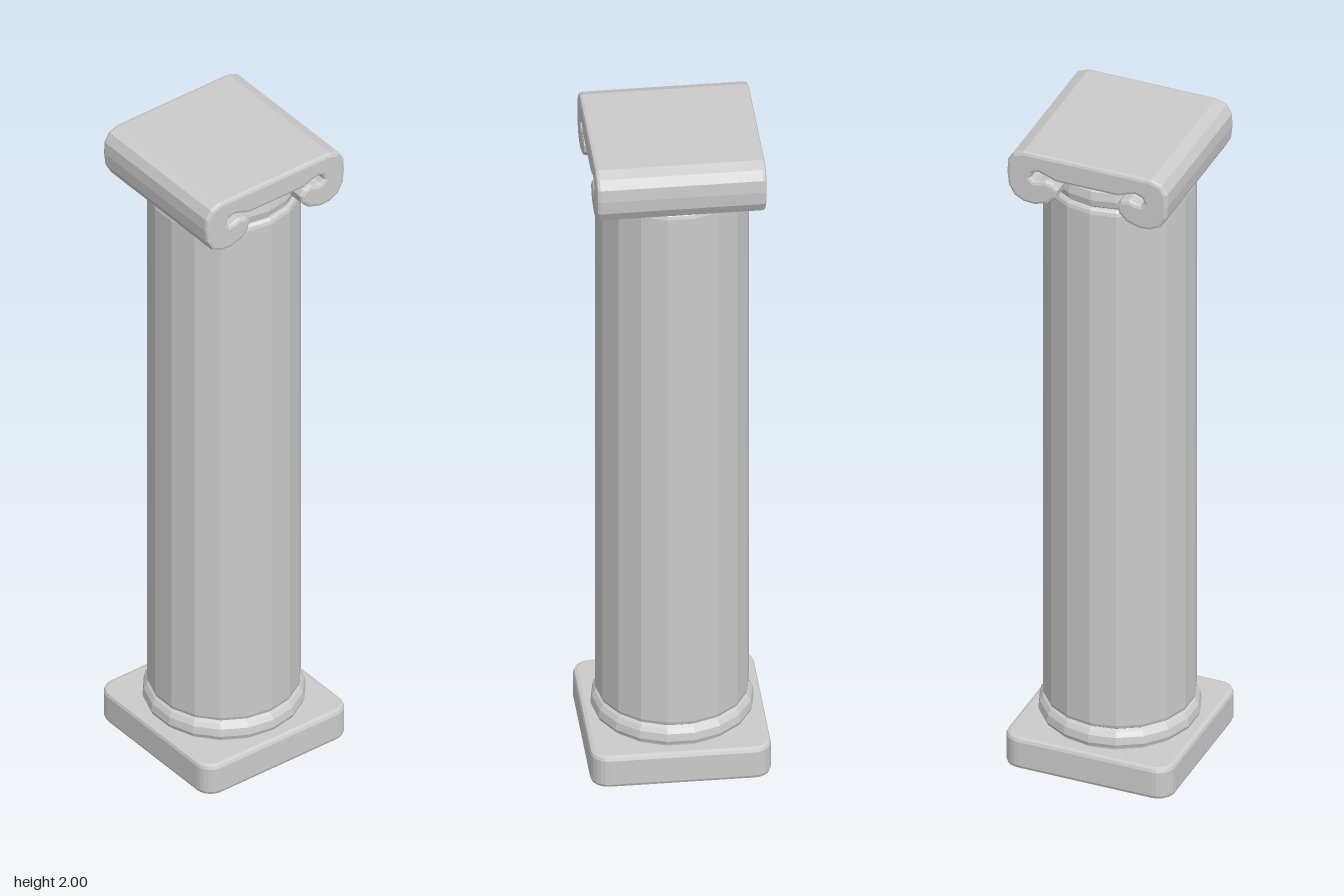
import * as THREE from 'three';

const stone = new THREE.MeshStandardMaterial({ color: 0xcccccc, flatShading: true, side: THREE.DoubleSide });
const SIDES = 18;

function addPart(group, name, geometry) {
  const mesh = new THREE.Mesh(geometry, stone);
  mesh.name = name;
  group.add(mesh);
  return mesh;
}

// Turned part from [radius, height] pairs
function turned(profile) {
  return new THREE.LatheGeometry(profile.map(([r, y]) => new THREE.Vector2(r, y)), SIDES);
}

// Square with rounded corners
function roundedSquare(half, r) {
  const s = new THREE.Shape(), c = half - r;
  s.absarc(c, c, r, 0, Math.PI / 2);
  s.absarc(-c, c, r, Math.PI / 2, Math.PI);
  s.absarc(-c, -c, r, Math.PI, Math.PI * 1.5);
  s.absarc(c, -c, r, Math.PI * 1.5, Math.PI * 2);
  return s;
}

// Slab whose two ends curl under into scrolls
function scrollShape() {
  const half = [
    [0.19, 2.0], [0.222, 1.988], [0.238, 1.962], [0.24, 1.925], [0.236, 1.885],
    [0.218, 1.853], [0.19, 1.838], [0.155, 1.836], [0.117, 1.848], [0.093, 1.872],
    [0.088, 1.897], [0.1, 1.913], [0.125, 1.919], [0.145, 1.912], [0.16, 1.911],
    [0.169, 1.921], [0.163, 1.936], [0.145, 1.943], [0.122, 1.936], [0.095, 1.925],
  ];
  const mirrored = half.map(([x, y]) => [-x, y]).reverse();
  return new THREE.Shape([...half, ...mirrored].map(([x, y]) => new THREE.Vector2(x, y)));
}

export function createModel() {
  const column = new THREE.Group();
  column.name = 'column';

  // Square foot slab
  const bevel = 0.012;
  const plinth = new THREE.ExtrudeGeometry(roundedSquare(0.25, 0.05), {
    depth: 0.1 - 2 * bevel, curveSegments: 3, bevelEnabled: true,
    bevelThickness: bevel, bevelSize: bevel, bevelOffset: -bevel, bevelSegments: 2,
  });
  plinth.rotateX(-Math.PI / 2).translate(0, bevel, 0);
  addPart(column, 'plinth', plinth);

  // Rounded ring between slab and shaft
  addPart(column, 'baseRing', turned([
    [0, 0.09], [0.208, 0.09], [0.21, 0.107], [0.222, 0.112], [0.226, 0.123],
    [0.222, 0.145], [0.213, 0.158], [0.202, 0.165], [0, 0.165],
  ]));

  // Faceted shaft with softened ends
  addPart(column, 'shaft', turned([
    [0, 0.163], [0.203, 0.163], [0.21, 0.168], [0.213, 0.178],
    [0.213, 1.833], [0.21, 1.843], [0.203, 1.849], [0, 1.849],
  ]));

  // Ring under the capital
  addPart(column, 'neckRing', turned([
    [0, 1.845], [0.193, 1.845], [0.203, 1.855], [0.207, 1.875],
    [0.202, 1.9], [0.192, 1.912], [0.185, 1.935], [0, 1.935],
  ]));

  // Scrolled capital
  const edge = 0.01;
  const capital = new THREE.ExtrudeGeometry(scrollShape(), {
    depth: 0.47 - 2 * edge, bevelEnabled: true,
    bevelThickness: edge, bevelSize: edge, bevelOffset: -edge, bevelSegments: 2,
  });
  capital.translate(0, 0, -0.235 + edge);
  addPart(column, 'capital', capital);

  return column;
}
